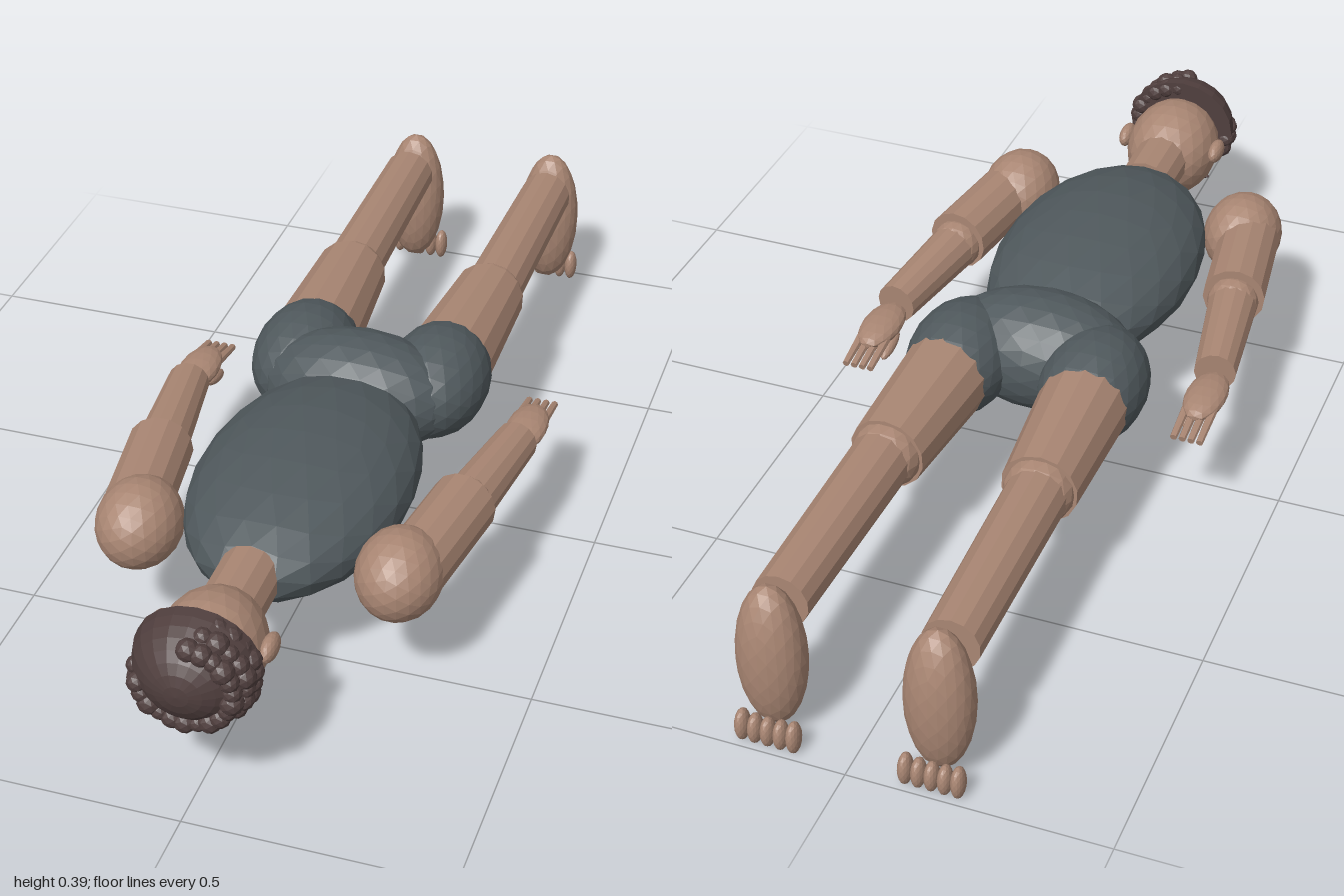
import * as THREE from 'three';

const paint = (name, color) => {
  const m = new THREE.MeshStandardMaterial({ color, flatShading: true });
  m.name = name;
  return m;
};

export function createModel() {
  const skin = paint('skin', 0xa98673);
  const suit = paint('suit', 0x50595d);
  const hair = paint('hair', 0x503f3e);
  const model = new THREE.Group();
  model.name = 'lyingFigure';

  // faceted ellipsoid
  function blob(parent, name, mat, pos, radii, detail = 3) {
    const mesh = new THREE.Mesh(new THREE.IcosahedronGeometry(1, detail), mat);
    mesh.name = name;
    mesh.position.set(...pos);
    mesh.scale.set(...radii);
    parent.add(mesh);
    return mesh;
  }

  // tapered cylinder from point a (radius ra) to point b (radius rb)
  function limb(parent, name, mat, a, b, ra, rb, sides = 14) {
    const p = new THREE.Vector3(...a), q = new THREE.Vector3(...b);
    const dir = q.clone().sub(p);
    const mesh = new THREE.Mesh(new THREE.CylinderGeometry(rb, ra, dir.length(), sides), mat);
    mesh.name = name;
    mesh.position.copy(p).add(q).multiplyScalar(0.5);
    mesh.quaternion.setFromUnitVectors(new THREE.Vector3(0, 1, 0), dir.normalize());
    parent.add(mesh);
    return mesh;
  }

  // trunk, back upwards and head towards +z
  blob(model, 'torso', suit, [0, 0.262, 0.32], [0.21, 0.117, 0.345]);
  blob(model, 'pelvis', suit, [0, 0.262, -0.015], [0.2, 0.121, 0.125]);
  limb(model, 'neck', skin, [0, 0.268, 0.62], [0, 0.268, 0.75], 0.06, 0.06);

  // head with the face downwards
  const head = new THREE.Group();
  head.name = 'head';
  model.add(head);
  blob(head, 'skull', skin, [0, 0.256, 0.825], [0.1, 0.103, 0.125]);
  blob(head, 'nose', skin, [0, 0.15, 0.8], [0.014, 0.024, 0.035], 2);
  blob(head, 'upperLip', skin, [0, 0.164, 0.748], [0.028, 0.009, 0.007], 2);
  blob(head, 'lowerLip', skin, [0, 0.17, 0.735], [0.024, 0.009, 0.007], 2);
  for (const s of [1, -1]) {
    blob(head, 'ear', skin, [s * 0.104, 0.272, 0.812], [0.016, 0.023, 0.036], 2);
    blob(head, 'eyebrow', hair, [s * 0.042, 0.169, 0.865], [0.034, 0.007, 0.008], 2);
  }

  // domed hair cut flat at the hairline
  const cap = new THREE.Mesh(new THREE.SphereGeometry(1, 20, 8, 0, Math.PI * 2, 0, Math.PI / 2), hair);
  cap.name = 'hairCap';
  cap.rotation.x = Math.PI / 2;
  cap.scale.set(0.118, 0.115, 0.107);
  cap.position.set(0, 0.28, 0.88);
  const capBase = new THREE.Mesh(new THREE.CircleGeometry(1, 20), hair);
  capBase.name = 'hairCapBase';
  capBase.rotation.y = Math.PI;
  capBase.scale.set(0.118, 0.107, 1);
  capBase.position.set(0, 0.28, 0.88);
  head.add(cap, capBase);

  // rows of curls around the crown, open at one side of the back
  const rows = [[0.088, 0.08, 0.956, 0], [0.101, 0.09, 0.925, 0.5], [0.104, 0.09, 0.893, 0]];
  rows.forEach(([rx, ry, z, shift]) => {
    for (let i = 0; i < 17; i++) {
      const t = 1.45 - (i + shift) * 0.275;
      const r = 0.02 + 0.003 * Math.sin(i * 2.3 + z * 40);
      blob(head, 'curl', hair, [rx * Math.cos(t), 0.277 + ry * Math.sin(t), z], [r, r, r], 1);
    }
  });

  for (const s of [1, -1]) {
    const side = s > 0 ? 'left' : 'right';

    // arm
    const arm = new THREE.Group();
    arm.name = side + 'Arm';
    model.add(arm);
    blob(arm, 'shoulder', skin, [s * 0.252, 0.26, 0.53], [0.082, 0.086, 0.097]);
    limb(arm, 'upperArm', skin, [s * 0.268, 0.262, 0.535], [s * 0.305, 0.262, 0.29], 0.064, 0.064);
    blob(arm, 'elbow', skin, [s * 0.305, 0.256, 0.285], [0.053, 0.053, 0.053], 2);
    limb(arm, 'forearm', skin, [s * 0.306, 0.254, 0.285], [s * 0.342, 0.248, 0.045], 0.051, 0.042);
    blob(arm, 'palm', skin, [s * 0.345, 0.237, -0.02], [0.041, 0.022, 0.08], 2);
    for (let i = 0; i < 4; i++) {
      const x = s * (0.319 + i * 0.0175);
      limb(arm, 'finger', skin, [x, 0.234, -0.06], [x, 0.217, -0.144], 0.009, 0.007, 8);
    }
    const thumb = blob(arm, 'thumb', skin, [s * 0.32, 0.208, -0.04], [0.013, 0.013, 0.042], 2);
    thumb.rotation.x = -0.25;

    // leg
    const leg = new THREE.Group();
    leg.name = side + 'Leg';
    model.add(leg);
    blob(leg, 'hip', suit, [s * 0.139, 0.262, -0.095], [0.106, 0.106, 0.15]);
    limb(leg, 'thigh', skin, [s * 0.14, 0.263, -0.1], [s * 0.153, 0.263, -0.437], 0.093, 0.075);
    blob(leg, 'knee', skin, [s * 0.153, 0.263, -0.435], [0.069, 0.067, 0.069], 2);
    limb(leg, 'shin', skin, [s * 0.155, 0.264, -0.43], [s * 0.161, 0.264, -0.887], 0.061, 0.055);

    // foot pointing down with the sole facing away from the body
    blob(leg, 'foot', skin, [s * 0.159, 0.182, -0.936], [0.066, 0.156, 0.058]);
    for (let i = 0; i < 5; i++) {
      const outer = i === 0 || i === 4;
      blob(leg, 'toe', skin, [s * (0.107 + i * 0.025), outer ? 0.036 : 0.034, -0.978],
        [0.0135, outer ? 0.035 : 0.033, 0.021], 2);
    }
  }
  return model;
}
